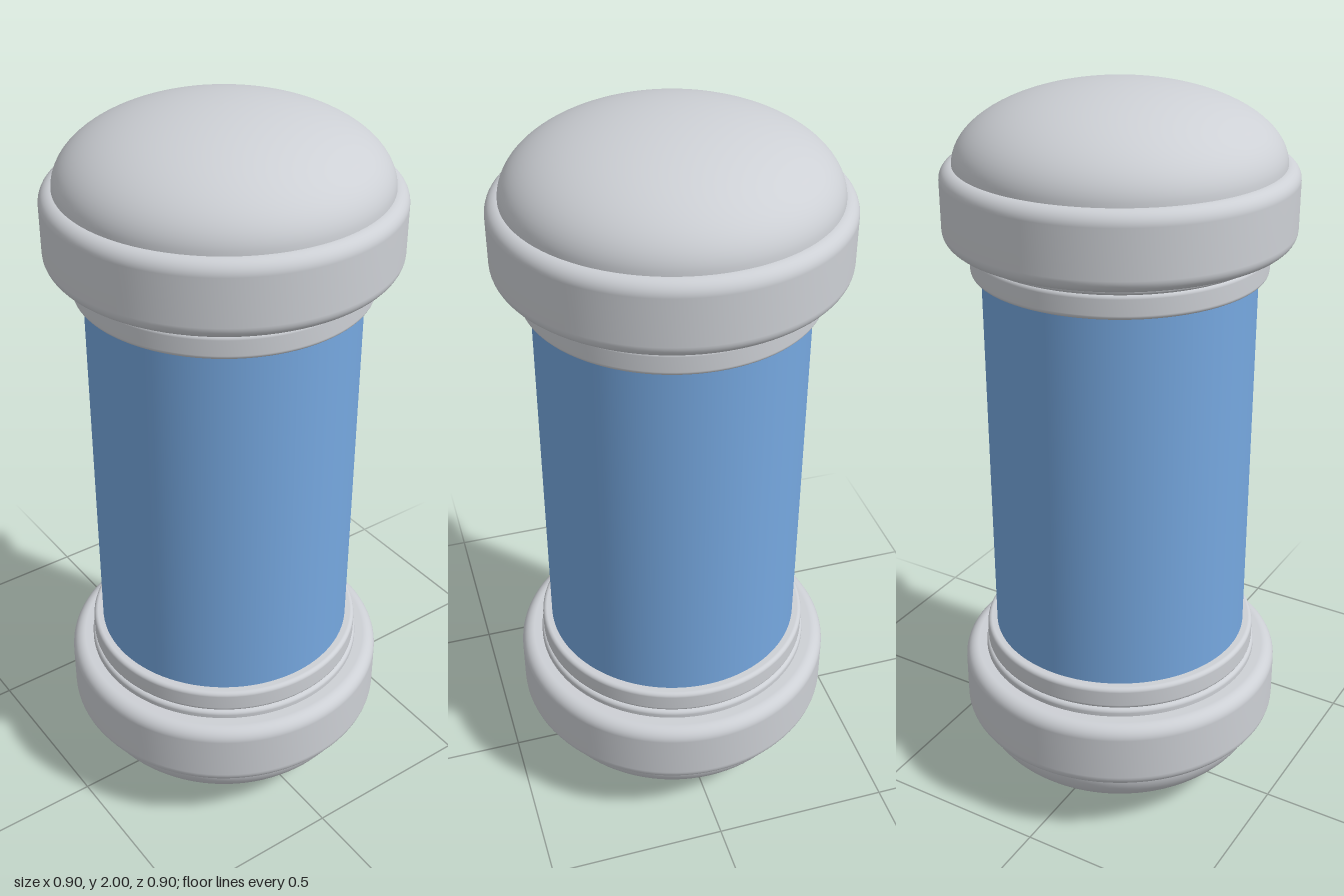
import * as THREE from 'three';

const SEGMENTS = 96;

// Revolved band with rounded outer edges; inner faces are closed off flat
function roundedBand(inner, outer, y0, y1, r) {
  const points = [new THREE.Vector2(inner, y0)];
  const corner = (cy, start) => {
    for (let i = 0; i <= 8; i++) {
      const a = start + (i / 8) * Math.PI / 2;
      points.push(new THREE.Vector2(outer - r + Math.cos(a) * r, cy + Math.sin(a) * r));
    }
  };
  corner(y0 + r, -Math.PI / 2);
  corner(y1 - r, 0);
  points.push(new THREE.Vector2(inner, y1));
  return new THREE.LatheGeometry(points, SEGMENTS);
}

// Shallow elliptical dome
function domeGeometry(radius, height, base) {
  const points = [];
  for (let i = 0; i <= 24; i++) {
    const a = (i / 24) * Math.PI / 2;
    points.push(new THREE.Vector2(i === 24 ? 0 : Math.cos(a) * radius, base + Math.sin(a) * height));
  }
  return new THREE.LatheGeometry(points, SEGMENTS);
}

export function createModel() {
  const model = new THREE.Group();
  model.name = 'cappedCapsule';

  const metal = new THREE.MeshStandardMaterial({ color: 0xcdd0d5 });
  metal.name = 'light grey';
  const glass = new THREE.MeshStandardMaterial({ color: 0x76a8e0 });
  glass.name = 'sky blue';

  const add = (parent, name, geometry, material) => {
    const mesh = new THREE.Mesh(geometry, material);
    mesh.name = name;
    parent.add(mesh);
    return mesh;
  };

  // Central tube
  const tube = add(model, 'tube', new THREE.CylinderGeometry(0.358, 0.358, 1.08, SEGMENTS, 1, true), glass);
  tube.position.y = 1;

  // End caps, measured from the middle of the tube and mirrored by a half turn
  const parts = [
    ['collar', roundedBand(0.35, 0.385, 0.527, 0.592, 0.012)],
    ['lip', roundedBand(0.35, 0.391, 0.59, 0.625, 0.012)],
    ['ring', roundedBand(0.35, 0.452, 0.612, 0.808, 0.036)],
    ['dome', domeGeometry(0.419, 0.194, 0.806)],
  ];
  for (const [name, turn] of [['topCap', 0], ['bottomCap', Math.PI]]) {
    const cap = new THREE.Group();
    cap.name = name;
    cap.position.y = 1;
    cap.rotation.x = turn;
    for (const [part, geometry] of parts) add(cap, part, geometry, metal);
    model.add(cap);
  }
  return model;
}
